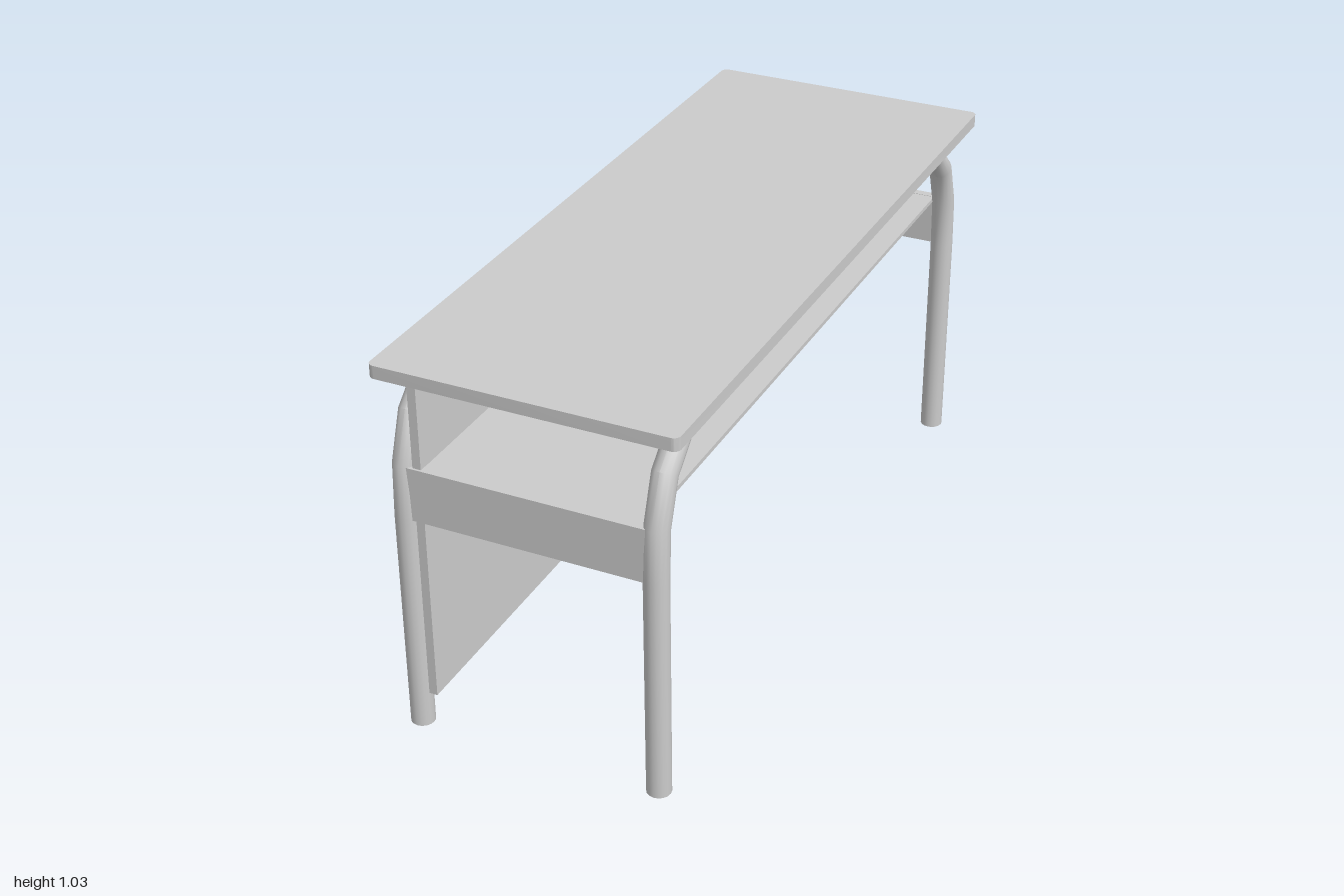
import * as THREE from 'three';
import { toCreasedNormals } from 'three/addons/utils/BufferGeometryUtils.js';

const material = new THREE.MeshStandardMaterial({ color: 0xcccccc });

function add(group, name, geometry, x = 0, y = 0, z = 0) {
  const mesh = new THREE.Mesh(geometry, material);
  mesh.name = name;
  mesh.position.set(x, y, z);
  group.add(mesh);
  return mesh;
}

// Box given by its lower and upper corners
function slab(group, name, [x0, y0, z0], [x1, y1, z1]) {
  return add(group, name, new THREE.BoxGeometry(x1 - x0, y1 - y0, z1 - z0),
    (x0 + x1) / 2, (y0 + y1) / 2, (z0 + z1) / 2);
}

// Round pipe with mitred bends along a path of [z, y] points
function bentPipe(path, radius, sides) {
  const points = path.map(([z, y]) => new THREE.Vector2(z, y));
  const last = points.length - 1;
  const positions = [], index = [];
  points.forEach((p, i) => {
    const before = p.clone().sub(points[Math.max(i - 1, 0)]).normalize();
    const after = points[Math.min(i + 1, last)].clone().sub(p).normalize();
    const dir = before.clone().add(after).normalize();
    const stretch = 1 / dir.dot(i < last ? after : before);
    for (let j = 0; j < sides; j++) {
      const a = (j / sides) * Math.PI * 2;
      const n = Math.sin(a) * radius * stretch;
      positions.push(Math.cos(a) * radius, p.y + dir.x * n, p.x - dir.y * n);
    }
  });
  for (let i = 0; i < last; i++) {
    for (let j = 0; j < sides; j++) {
      const k = (j + 1) % sides;
      const a = i * sides + j, b = i * sides + k;
      index.push(a, b, b + sides, a, b + sides, a + sides);
    }
  }
  // End caps
  for (let j = 1; j < sides - 1; j++) {
    const e = last * sides;
    index.push(0, j + 1, j, e, e + j, e + j + 1);
  }
  const geometry = new THREE.BufferGeometry();
  geometry.setAttribute('position', new THREE.Float32BufferAttribute(positions, 3));
  geometry.setIndex(index);
  return toCreasedNormals(geometry, 0.6);
}

export function createModel() {
  const desk = new THREE.Group();
  desk.name = 'desk';

  // Top with small rounded corners
  const w = 0.4, d = 1, r = 0.018;
  const outline = new THREE.Shape();
  outline.absarc(w - r, d - r, r, 0, Math.PI / 2);
  outline.absarc(-w + r, d - r, r, Math.PI / 2, Math.PI);
  outline.absarc(-w + r, -d + r, r, Math.PI, Math.PI * 1.5);
  outline.absarc(w - r, -d + r, r, Math.PI * 1.5, Math.PI * 2);
  const top = new THREE.ExtrudeGeometry(outline, { depth: 0.035, bevelEnabled: false, curveSegments: 5 });
  top.rotateX(-Math.PI / 2);
  add(desk, 'tableTop', toCreasedNormals(top, 0.6), 0, 1, 0);

  // Two bent pipe frames, each forming a pair of legs and a top rail
  const half = [[0.967, 0], [0.967, 0.62], [0.96, 0.76], [0.917, 0.882], [0.823, 0.968]];
  const path = [...half, ...half.slice().reverse().map(([z, y]) => [-z, y])];
  const pipe = bentPipe(path, 0.032, 16);
  add(desk, 'rightLegFrame', pipe, -0.339);
  add(desk, 'leftLegFrame', pipe, 0.327);

  // Upright panel inside the right legs
  slab(desk, 'modestyPanel', [-0.307, 0.1, -0.98], [-0.284, 0.99, 0.98]);

  // Shelf under the top
  slab(desk, 'shelf', [-0.285, 0.752, -0.965], [0.296, 0.764, 0.965]);

  // End crossbars joining the legs
  for (const s of [1, -1]) {
    const bar = slab(desk, s > 0 ? 'frontCrossbar' : 'backCrossbar',
      [-0.335, 0.618, 0.962], [0.323, 0.765, 0.986]);
    bar.position.z *= s;
  }
  return desk;
}
